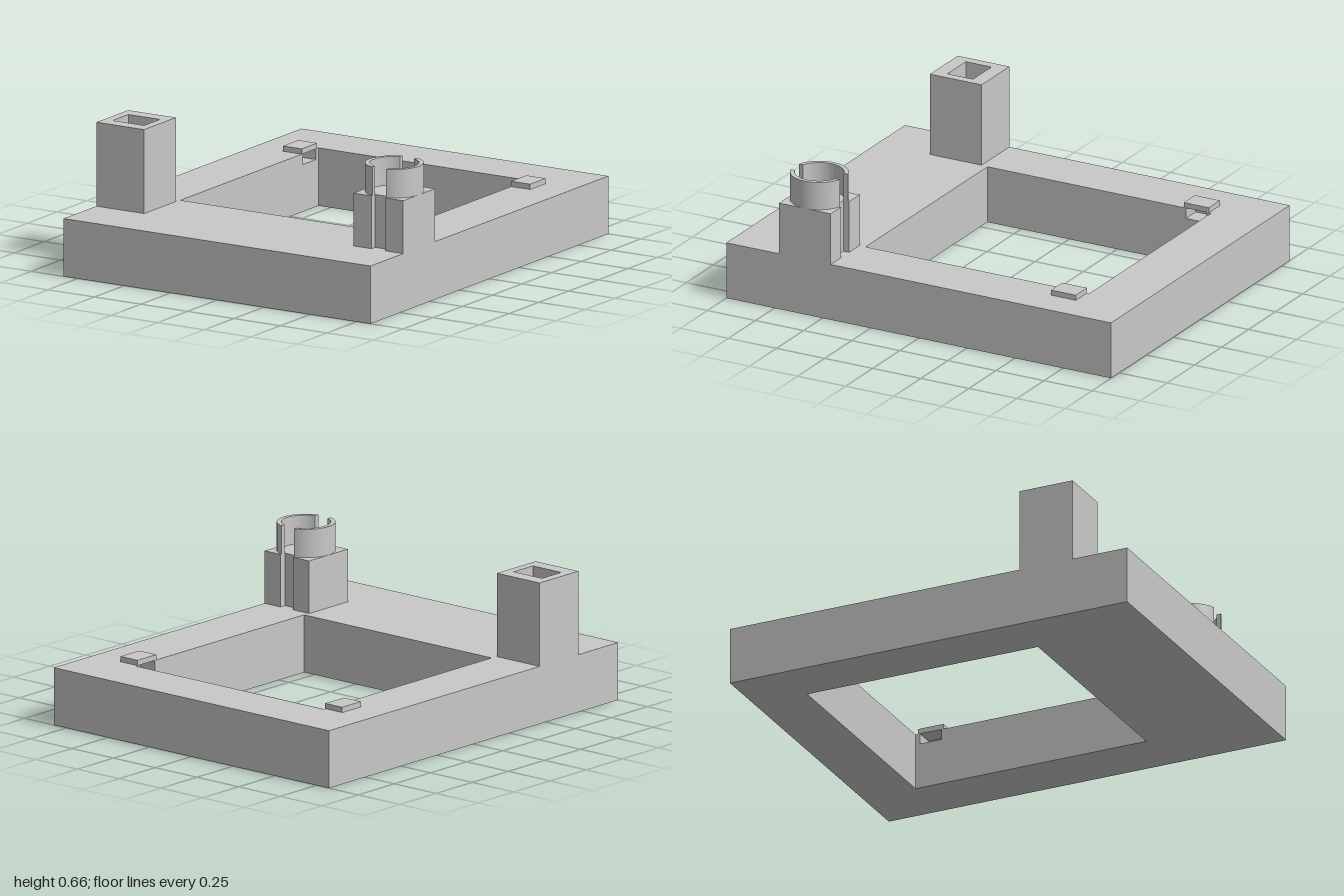
import * as THREE from 'three';
import { toCreasedNormals } from 'three/addons/utils/BufferGeometryUtils.js';

const rect = (x0, x1, z0, z1) => [[x0, z0], [x1, z0], [x1, z1], [x0, z1]];
// Plan outlines use [x, z]; the shape's y is -z so that it can be laid flat.
const toPoints = (list) => list.map(([x, z]) => new THREE.Vector2(x, -z));

export function createModel() {
  const group = new THREE.Group();
  const grey = new THREE.MeshStandardMaterial({ color: 0xc8c8c8 });
  grey.name = 'grey plastic';

  function slab(name, shape, y0, y1) {
    let geo = new THREE.ExtrudeGeometry(shape, { depth: y1 - y0, bevelEnabled: false, curveSegments: 32 });
    geo.rotateX(-Math.PI / 2);
    geo.translate(0, y0, 0);
    geo = toCreasedNormals(geo, 0.5);
    const mesh = new THREE.Mesh(geo, grey);
    mesh.name = name;
    group.add(mesh);
    return mesh;
  }
  // Holes wind opposite to the outline so their walls face into the opening
  function plan(outline, hole) {
    const shape = new THREE.Shape(toPoints(outline));
    if (hole) shape.holes.push(new THREE.Path(toPoints(hole).reverse()));
    return shape;
  }

  // Rectangular frame, its upper layer pocketed under the two tabs
  const L = -0.565, R = 0.56, B = -0.737, F = 0.425;
  const outer = rect(-0.825, 0.825, -1, 1);
  const top = 0.27, pocketFloor = 0.22;
  slab('frameLower', plan(outer, rect(L, R, B, F)), 0, pocketFloor);
  slab('frameUpper', plan(outer, [
    [L, B], [R, B], [R, -0.715], [0.65, -0.715], [0.65, -0.607], [R, -0.607],
    [R, F], [L, F], [L, -0.607], [-0.655, -0.607], [-0.655, -0.715], [L, -0.715],
  ]), pocketFloor, top);

  // Retaining tabs
  slab('rightTab', plan(rect(-0.667, L, -0.726, -0.596)), top, 0.295);
  slab('leftTab', plan(rect(R, 0.663, -0.726, -0.596)), top, 0.295);

  // Square post with a rectangular socket
  slab('socketPost', plan(rect(-0.825, -0.568, 0.457, 0.725), rect(-0.78, -0.61, 0.525, 0.658)), top, 0.662);

  // Grooved pedestal
  const cx = 0.692, cz = 0.591, half = 0.0375;
  const x0 = 0.557, x1 = 0.825, z0 = 0.457, z1 = 0.725, groove = 0.03;
  slab('pedestal', plan([
    [x0, z0], [cx - half, z0], [cx - half, z0 + groove], [cx + half, z0 + groove], [cx + half, z0], [x1, z0],
    [x1, z1], [cx + half, z1], [cx + half, z1 - groove], [cx - half, z1 - groove], [cx - half, z1], [x0, z1],
  ]), top, 0.517);

  // Split collar: two half rings with parallel-sided slots
  const ro = 0.133, ri = 0.112;
  const a = Math.PI / 2 - Math.asin(half / ro), b = Math.PI / 2 - Math.asin(half / ri);
  for (const side of [0, 1]) {
    const s = new THREE.Shape();
    s.absarc(0, 0, ro, -a, a, false);
    s.absarc(0, 0, ri, b, -b, true);
    const ring = slab(side ? 'collarRight' : 'collarLeft', s, 0.517, 0.65);
    ring.rotation.y = side * Math.PI;
    ring.position.set(cx, 0, cz);
  }
  return group;
}
